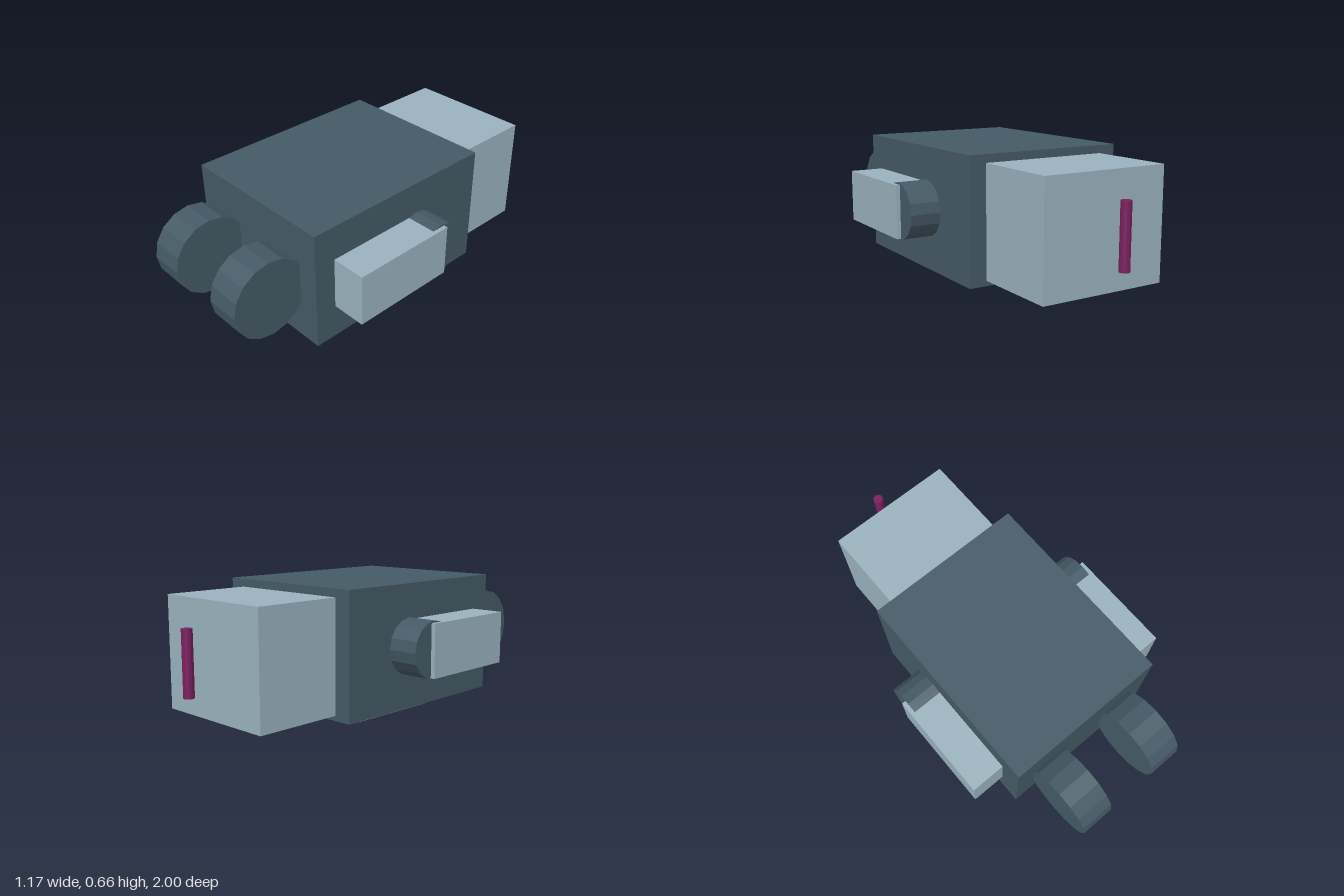
import * as THREE from 'three';

const material = (color) => new THREE.MeshStandardMaterial({ color, flatShading: true });

export function createModel() {
  const model = new THREE.Group();
  const dark = material(0x455a66);
  const light = material(0x9ab2be);
  const teal = material(0x1d5f66);
  const magenta = material(0x7a2060);

  const add = (name, geometry, mat, x, y, z) => {
    const mesh = new THREE.Mesh(geometry, mat);
    mesh.name = name;
    mesh.position.set(x, y, z);
    model.add(mesh);
    return mesh;
  };
  // Box given by its lower and upper corners
  const box = (name, mat, [x0, y0, z0], [x1, y1, z1]) =>
    add(name, new THREE.BoxGeometry(x1 - x0, y1 - y0, z1 - z0), mat,
      (x0 + x1) / 2, (y0 + y1) / 2, (z0 + z1) / 2);
  // 16-sided disc with its axle along x
  const disc = (name, radius, width, x, y, z) =>
    add(name, new THREE.CylinderGeometry(radius, radius, width, 16).rotateZ(Math.PI / 2), dark, x, y, z);

  // Robot lying face down, head towards the back
  box('torso', dark, [-0.412, 0.05, -0.405], [0.412, 0.66, 0.64]);
  box('chestPanel', light, [-0.295, 0, -0.22], [0.295, 0.06, 0.285]);
  box('head', light, [-0.325, 0.075, -0.85], [0.325, 0.62, -0.4]);
  box('visor', teal, [-0.215, 0.063, -0.67], [0.215, 0.09, -0.552]);

  // Upright rod floating just beyond the top of the head
  add('antenna', new THREE.CylinderGeometry(0.025, 0.025, 0.305, 12), magenta, 0, 0.357, -0.975);

  // Shoulders, arms and wheels on both sides
  for (const side of [1, -1]) {
    const label = side > 0 ? 'left' : 'right';
    disc(label + 'Shoulder', 0.14, 0.175, side * 0.4775, 0.357, 0.008);
    const arm = new THREE.BoxGeometry(0.175, 0.262, 0.545);
    add(label + 'Arm', arm, light, side * 0.4985, 0.356, 0.2575);
    disc(label + 'Wheel', 0.197, 0.174, side * 0.218, 0.355, 0.803);
  }

  return model;
}
